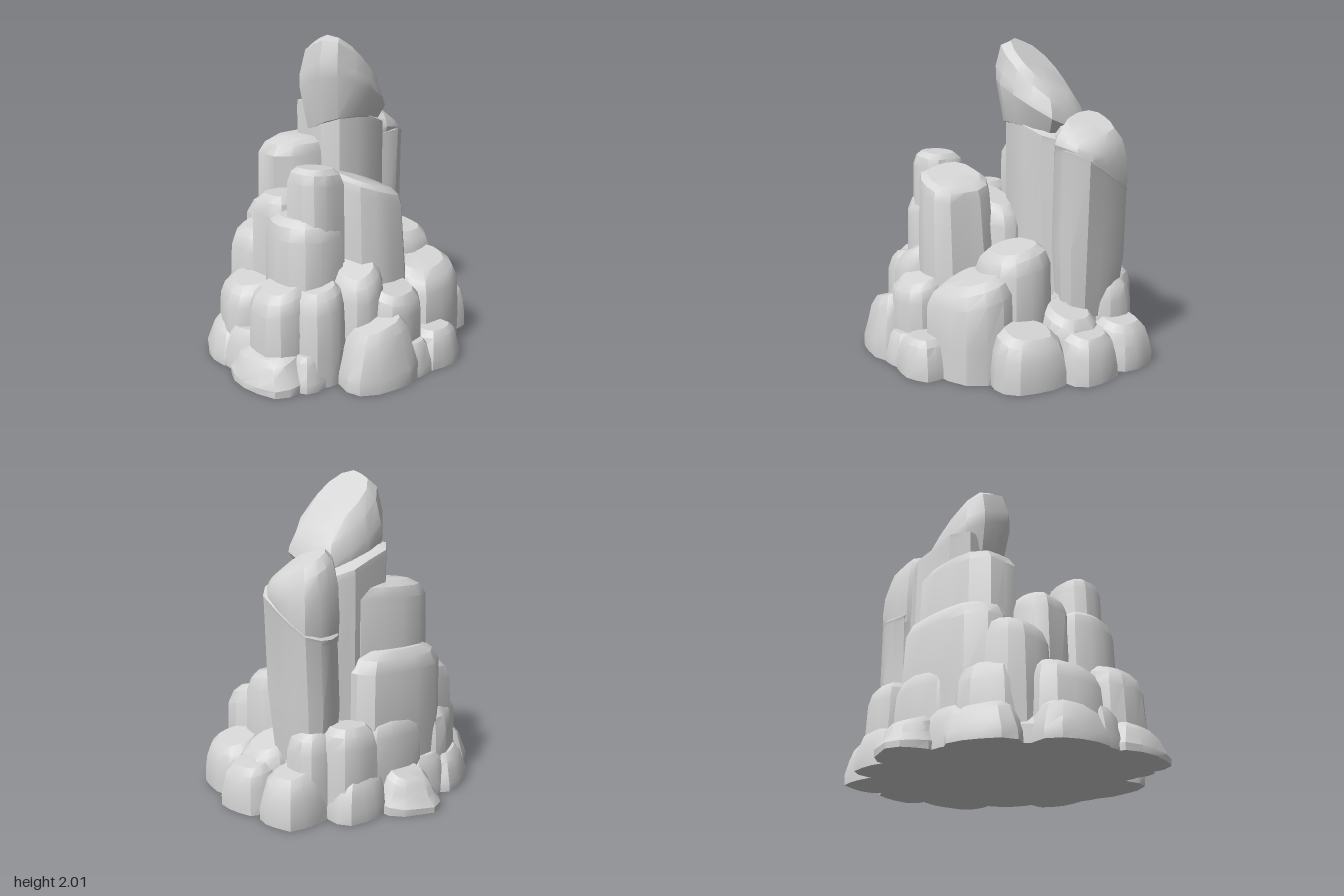
import * as THREE from 'three';
import { toCreasedNormals } from 'three/addons/utils/BufferGeometryUtils.js';

// small seeded generator for the chipped outlines
function seeded(seed) {
  let s = seed * 7919 + 17;
  return () => {
    s = (s * 16807) % 2147483647;
    return s / 2147483647 - 0.5;
  };
}

// One boulder: stacked rounded-square rings with a bevelled, tilted top.
// tx, tz tilt the top; bx, bz tilt the underside; foot scales the lowest ring;
// belly is the height of the widest ring; lean shifts the top along x.
function rockGeometry(seed, o) {
  const { x, z, rx, rz, y0 = 0, y1, tx = 0, tz = 0, taper = 0.94, bx = 0, bz = 0, turn = 0,
    bevel = 0.12, flat = 0.64, foot = 1, belly = 0.45, lean = 0 } = o;
  const rnd = seeded(seed);
  for (let i = 0; i < 5; i++) rnd();
  const N = 14, h = y1 - y0, b = Math.min(bevel, h * 0.45);
  const chips = Array.from({ length: N }, () => 1.02 + rnd() * 0.08);
  const rings = [
    [0, foot], [(h - b) * belly, 1], [h - b, taper],
    [h - b * 0.35, taper * (0.42 + flat * 0.7)], [h, taper * flat],
  ];
  const at = (lx, lz, dy) => {
    const t = dy / h;
    const y = y0 + dy + t * (tx * lx + tz * lz) + (1 - t) * (bx * lx + bz * lz);
    return [x + lx + lean * t, Math.max(0, y), z + lz];
  };
  const pts = rings.map(([dy, k]) => chips.map((chip, i) => {
    const a = (i / N) * Math.PI * 2 + 0.12;
    const c = Math.cos(a), s = Math.sin(a);
    const r = k * chip * (1 + rnd() * 0.035) * Math.pow(Math.abs(c) ** 3 + Math.abs(s) ** 3, -1 / 3);
    const px = c * r * rx, pz = s * r * rz;
    return at(px * Math.cos(turn) - pz * Math.sin(turn), px * Math.sin(turn) + pz * Math.cos(turn), dy);
  }));
  const pos = [];
  const tri = (p, q, r) => pos.push(...p, ...q, ...r);
  const low = at(0, 0, 0), high = at(0, 0, h);
  for (let i = 0; i < N; i++) {
    const n = (i + 1) % N;
    for (let j = 0; j < rings.length - 1; j++) {
      tri(pts[j][i], pts[j + 1][i], pts[j][n]);
      tri(pts[j][n], pts[j + 1][i], pts[j + 1][n]);
    }
    tri(low, pts[0][i], pts[0][n]);
    tri(high, pts[rings.length - 1][n], pts[rings.length - 1][i]);
  }
  const g = new THREE.BufferGeometry();
  g.setAttribute('position', new THREE.Float32BufferAttribute(pos, 3));
  return toCreasedNormals(g, 0.5);
}

export function createModel() {
  const model = new THREE.Group();
  model.name = 'rockFormation';
  const stone = new THREE.MeshStandardMaterial({ color: 0xd4d4d4 });
  stone.name = 'greyStone';
  let seed = 1;
  const rock = (name, o) => {
    const mesh = new THREE.Mesh(rockGeometry(seed++, o), stone);
    mesh.name = name;
    model.add(mesh);
  };

  // masses joining the boulders
  rock('lowerCore', { x: 0, z: 0, rx: 0.74, rz: 0.62, y1: 0.36, taper: 0.85 });
  rock('upperCore', { x: -0.05, z: -0.08, rx: 0.52, rz: 0.45, y1: 0.6, taper: 0.95 });

  // tall pillars and their capstones
  rock('mainPillar', { x: 0.26, z: -0.2, rx: 0.28, rz: 0.25, y1: 1.5, tx: -0.36, taper: 0.99, bevel: 0.06, flat: 0.82 });
  rock('sidePillar', { x: 0.55, z: -0.22, rx: 0.16, rz: 0.23, y0: 0.3, y1: 1.22, tz: 0.6, taper: 1, bevel: 0.05, flat: 0.85, foot: 0.85, lean: 0.03 });
  rock('sidePillarFoot', { x: 0.53, z: -0.2, rx: 0.15, rz: 0.22, y1: 0.5 });
  rock('sideCapstone', { x: 0.57, z: -0.23, rx: 0.175, rz: 0.22, y0: 1.17, y1: 1.49, tx: -0.55, tz: -0.2, bz: 0.7, bevel: 0.13, taper: 0.97, foot: 0.97 });
  rock('peakCapstone', { x: 0.2, z: -0.14, rx: 0.29, rz: 0.23, y0: 1.4, y1: 1.84, tx: -0.82, tz: 0.25, bx: -0.12, bz: 0.4, taper: 0.98, bevel: 0.18, flat: 0.66, foot: 0.8, belly: 0.75 });
  rock('backPillar', { x: 0.03, z: -0.31, rx: 0.34, rz: 0.21, y1: 1.35, tx: 0.03, turn: 0.08, taper: 0.95, bevel: 0.1 });
  rock('frontPillar', { x: -0.05, z: 0.33, rx: 0.23, rz: 0.23, y1: 1.15, tx: -0.3, tz: -0.15, taper: 0.89, bevel: 0.08, turn: 0.12, flat: 0.75, lean: -0.05 });
  rock('rightPillar', { x: -0.42, z: 0.23, rx: 0.165, rz: 0.16, y1: 1.26, tx: -0.08, taper: 0.94, bevel: 0.09 });

  // middle tier, packed around the pillars
  const middle = [
    { x: -0.47, z: 0.18, rx: 0.2, rz: 0.23, y1: 0.97, taper: 0.96 },
    { x: -0.37, z: -0.12, rx: 0.17, rz: 0.18, y1: 1.04 },
    { x: -0.02, z: 0.06, rx: 0.25, rz: 0.15, y1: 1.0, tx: -0.3 },
    { x: 0.02, z: -0.42, rx: 0.37, rz: 0.2, y1: 0.95, tz: 0.1, taper: 0.96 },
    { x: -0.34, z: -0.34, rx: 0.21, rz: 0.21, y1: 0.8, tx: 0.2 },
    { x: 0.37, z: 0.22, rx: 0.21, rz: 0.21, y1: 0.75, tz: -0.2, taper: 0.96 },
    { x: 0.3, z: 0.46, rx: 0.27, rz: 0.24, y1: 0.59, tx: 0.1, tz: -0.25, turn: -0.15, taper: 0.95 },
    { x: -0.3, z: 0.45, rx: 0.16, rz: 0.17, y1: 0.67, tx: 0.4, tz: -0.3 },
    { x: -0.11, z: 0.58, rx: 0.18, rz: 0.17, y1: 0.53, tz: -0.3, taper: 0.97, flat: 0.7 },
    { x: -0.67, z: 0.19, rx: 0.18, rz: 0.19, y1: 0.58, tx: 0.25, taper: 0.95 },
    { x: -0.54, z: 0.36, rx: 0.16, rz: 0.17, y1: 0.58, tx: 0.2 },
  ];
  middle.forEach((o, i) => rock('middleBoulder' + (i + 1), o));

  // back and side shoulders
  const shoulders = [
    { x: -0.28, z: -0.45, rx: 0.21, rz: 0.18, y1: 0.5, turn: -0.4 },
    { x: -0.57, z: -0.19, rx: 0.2, rz: 0.23, y1: 0.52, turn: 0.4, tx: 0.2 },
    { x: 0.13, z: -0.48, rx: 0.27, rz: 0.17, y1: 0.55 },
    { x: 0.46, z: -0.48, rx: 0.17, rz: 0.16, y1: 0.54, taper: 0.97 },
    { x: 0.6, z: -0.35, rx: 0.16, rz: 0.15, y1: 0.51 },
    { x: 0.65, z: 0, rx: 0.18, rz: 0.18, y1: 0.38, tx: -0.35 },
    { x: 0.4, z: 0.02, rx: 0.2, rz: 0.2, y1: 0.42 },
  ];
  shoulders.forEach((o, i) => rock('shoulderBoulder' + (i + 1), o));

  // low boulders around the foot
  const foot = [
    { x: 0.14, z: -0.68, rx: 0.2, rz: 0.17, y1: 0.22, tz: 0.4, turn: 0.5, taper: 0.8 },
    { x: -0.11, z: -0.57, rx: 0.17, rz: 0.13, y1: 0.25, taper: 0.9 },
    { x: 0.44, z: -0.54, rx: 0.19, rz: 0.15, y1: 0.25, taper: 0.9 },
    { x: 0.75, z: -0.33, rx: 0.18, rz: 0.18, y1: 0.29, taper: 0.9, tx: -0.2 },
    { x: 0.8, z: 0, rx: 0.15, rz: 0.18, y1: 0.28, taper: 0.92, tx: -0.2 },
    { x: 0.66, z: 0.34, rx: 0.17, rz: 0.22, y1: 0.32, taper: 0.93, tx: -0.25, turn: 0.2 },
    { x: 0.14, z: 0.72, rx: 0.17, rz: 0.14, y1: 0.23, taper: 0.9 },
    { x: -0.33, z: 0.66, rx: 0.24, rz: 0.17, y1: 0.37, taper: 0.84, tx: 0.3, turn: 0.3, bevel: 0.17 },
    { x: -0.08, z: 0.72, rx: 0.13, rz: 0.11, y1: 0.2, taper: 0.85 },
    { x: -0.79, z: 0.2, rx: 0.16, rz: 0.25, y1: 0.21, taper: 0.85, tx: 0.3 },
    { x: -0.66, z: 0.4, rx: 0.12, rz: 0.12, y1: 0.2, taper: 0.8 },
    { x: -0.71, z: -0.06, rx: 0.14, rz: 0.16, y1: 0.26, taper: 0.85 },
    { x: -0.32, z: -0.55, rx: 0.22, rz: 0.16, y1: 0.24, taper: 0.88, turn: -0.4, tz: 0.2 },
    { x: -0.65, z: -0.26, rx: 0.18, rz: 0.22, y1: 0.25, taper: 0.88, turn: 0.4, tx: 0.2 },
  ];
  foot.forEach((o, i) => rock('footBoulder' + (i + 1), o));

  return model;
}
